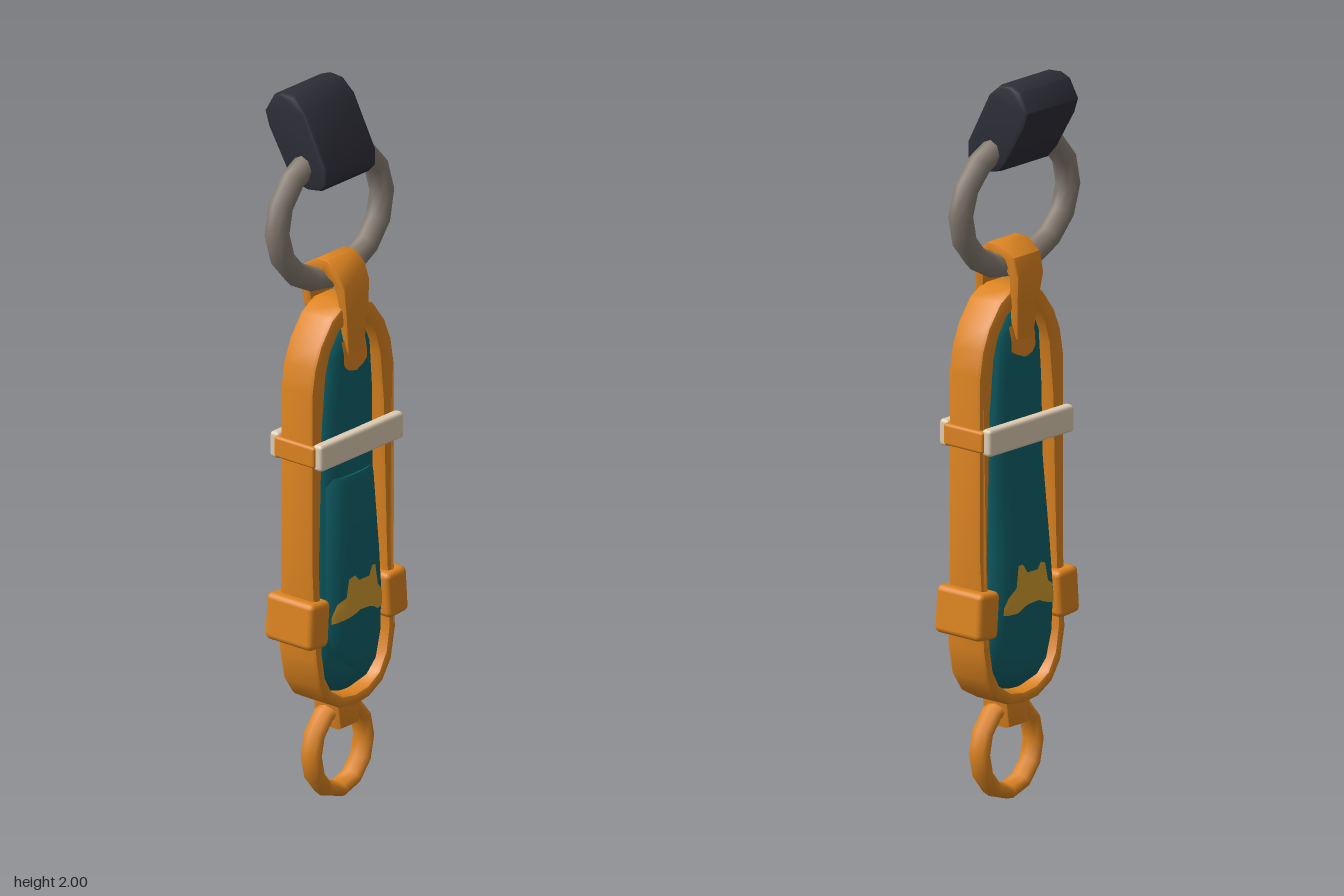
import * as THREE from 'three';
import { toCreasedNormals } from 'three/addons/utils/BufferGeometryUtils.js';
import { RoundedBoxGeometry } from 'three/addons/geometries/RoundedBoxGeometry.js';

const mat = (name, color) => {
  const m = new THREE.MeshStandardMaterial({ color });
  m.name = name;
  return m;
};

const ZC = 0.037; // depth of the middle plane of the case
const POW = 2.5;  // squareness of the lofted cross-sections

// Rows: [y, half width, depth to the front, depth to the back]
const BODY = [
  [0.315, 0.04, 0.03, 0.035], [0.34, 0.095, 0.055, 0.06], [0.38, 0.122, 0.07, 0.076],
  [0.45, 0.135, 0.078, 0.088], [0.56, 0.136, 0.08, 0.096], [0.7, 0.128, 0.074, 0.086],
  [0.93, 0.113, 0.06, 0.066], [1.15, 0.106, 0.066, 0.066], [1.28, 0.098, 0.062, 0.062],
  [1.34, 0.075, 0.05, 0.05], [1.365, 0.03, 0.03, 0.03],
];
const PANEL = [
  [0.37, 0.012, 0.07, 0.01], [0.4, 0.06, 0.081, 0.01], [0.435, 0.112, 0.087, 0.01],
  [0.48, 0.122, 0.091, 0.01], [0.57, 0.125, 0.094, 0.01], [0.7, 0.119, 0.088, 0.01],
  [0.91, 0.106, 0.074, 0.01], [0.935, 0.1, 0.066, 0.01],
];

function loft(rows, seg = 32) {
  const pos = [], idx = [], top = (rows.length - 1) * seg, n = rows.length * seg;
  for (const [y, w, front, back] of rows)
    for (let j = 0; j < seg; j++) {
      const t = (j / seg) * Math.PI * 2, c = Math.cos(t), s = Math.sin(t);
      const round = v => Math.sign(v) * Math.abs(v) ** (2 / POW);
      pos.push(w * round(c), y, ZC + (s > 0 ? front : back) * round(s));
    }
  pos.push(0, rows[0][0], ZC, 0, rows[rows.length - 1][0], ZC);
  for (let j = 0; j < seg; j++) {
    const k = (j + 1) % seg;
    for (let i = 0; i < top; i += seg)
      idx.push(i + j, i + j + seg, i + k, i + k, i + j + seg, i + k + seg);
    idx.push(n, j, k, n + 1, top + k, top + j);
  }
  const g = new THREE.BufferGeometry();
  g.setAttribute('position', new THREE.Float32BufferAttribute(pos, 3));
  g.setIndex(idx);
  return toCreasedNormals(g, 0.7);
}

// Depth of a lofted surface at x, y (side 1 = front, -1 = back)
function surfaceZ(rows, x, y, side) {
  let i = 0;
  while (i < rows.length - 2 && rows[i + 1][0] < y) i++;
  const t = (y - rows[i][0]) / (rows[i + 1][0] - rows[i][0]);
  const mix = k => THREE.MathUtils.lerp(rows[i][k], rows[i + 1][k], t);
  const u = Math.min(1, Math.abs(x) / mix(1));
  return ZC + side * (mix(side > 0 ? 2 : 3) * (1 - u ** POW) ** (1 / POW) + 0.003);
}

// Painted patch hugging a surface; columns are [x, bottom, top]
function patch(columns, rows, side, steps = 6) {
  const pos = [], idx = [], m = steps + 1;
  columns.forEach(([x, lo, hi], i) => {
    for (let j = 0; j < m; j++) {
      const y = lo + ((hi - lo) * j) / steps;
      pos.push(x, y, surfaceZ(rows, x, y, side));
      if (i && j) {
        const a = (i - 1) * m + j - 1, b = a + m;
        idx.push(...(side > 0 ? [a, b, a + 1, b, b + 1, a + 1] : [a, a + 1, b, b, a + 1, b + 1]));
      }
    }
  });
  const g = new THREE.BufferGeometry();
  g.setAttribute('position', new THREE.Float32BufferAttribute(pos, 3));
  g.setIndex(idx);
  g.computeVertexNormals();
  return g;
}

// Extruded outline with a small bevel that keeps the outline's size
function slab(points, depth, bevel, hole) {
  const vecs = list => list.map(p => new THREE.Vector2(...p));
  const shape = new THREE.Shape(vecs(points));
  if (hole) shape.holes.push(new THREE.Path(vecs(hole)));
  const g = new THREE.ExtrudeGeometry(shape, {
    depth: depth - 2 * bevel, bevelThickness: bevel, bevelSize: bevel,
    bevelOffset: -bevel, bevelSegments: 2, steps: 1,
  });
  g.translate(0, 0, bevel - depth / 2);
  return g;
}

// Faceted oval ring
function ovalRing(a, b, tube, sides) {
  const pts = [];
  for (let i = 0; i < sides; i++) {
    const t = (i / sides) * Math.PI * 2;
    pts.push(new THREE.Vector3(a * Math.cos(t), b * Math.sin(t), 0));
  }
  return new THREE.TubeGeometry(new THREE.CatmullRomCurve3(pts, true), sides, tube, 8, true);
}

const mirrored = half => [...half, ...half.filter(p => p[0] > 0).reverse().map(([x, y]) => [-x, y])];

export function createModel() {
  const group = new THREE.Group();
  const orange = mat('orange', 0xdd8420), teal = mat('teal', 0x0e6068), gold = mat('gold', 0xcf9a2e);
  const cream = mat('cream', 0xdfccb4), grey = mat('warm grey', 0x857b70), dark = mat('charcoal', 0x2d2d37);
  const add = (name, geo, material, x = 0, y = 0, z = 0) => {
    const m = new THREE.Mesh(geo, material);
    m.name = name;
    m.position.set(x, y, z);
    group.add(m);
    return m;
  };

  // Frame: tall loop, a little deeper at its lower end
  const outer = mirrored([[0, 0.275], [0.055, 0.282], [0.11, 0.312], [0.145, 0.365], [0.162, 0.45],
    [0.167, 0.7], [0.167, 1.2], [0.155, 1.27], [0.13, 1.33], [0.085, 1.39], [0.035, 1.42]]);
  const inner = mirrored([[0, 0.308], [0.05, 0.315], [0.095, 0.342], [0.122, 0.39], [0.134, 0.46],
    [0.134, 0.7], [0.122, 1.1], [0.108, 1.24], [0.09, 1.3], [0.055, 1.35], [0.02, 1.365]]);
  const frame = slab(outer, 0.114, 0.012, inner);
  const fp = frame.attributes.position;
  for (let i = 0; i < fp.count; i++) if (fp.getY(i) < 0.5) fp.setZ(i, fp.getZ(i) * 1.18);
  add('frame', toCreasedNormals(frame, 0.7), orange, 0, 0, ZC);

  // Body and its raised front panel
  add('body', loft(BODY), teal);
  add('frontPanel', loft(PANEL), teal);

  // Painted patches on both faces
  const emblem = [[-0.102, 0.535, 0.555], [-0.09, 0.538, 0.59], [-0.065, 0.545, 0.605], [-0.055, 0.548, 0.655],
    [-0.035, 0.555, 0.662], [-0.02, 0.562, 0.645], [0.02, 0.56, 0.645], [0.035, 0.555, 0.67],
    [0.05, 0.545, 0.668], [0.06, 0.54, 0.61], [0.085, 0.538, 0.585], [0.098, 0.54, 0.56]];
  const tag = [[-0.045, 1.25, 1.315], [-0.03, 1.235, 1.325], [0, 1.228, 1.33], [0.03, 1.24, 1.325], [0.048, 1.25, 1.315]];
  for (const side of [1, -1]) {
    const face = side > 0 ? 'front' : 'back';
    add(face + 'Emblem', patch(emblem, side > 0 ? PANEL : BODY, side), gold);
    add(face + 'UpperPatch', patch(tag, BODY, side), orange);
  }

  // Cross band: pale plates front and back, joined round the frame
  add('frontBandPlate', new RoundedBoxGeometry(0.336, 0.074, 0.032, 2, 0.01), cream, 0, 1.028, 0.11);
  add('backBandPlate', new RoundedBoxGeometry(0.336, 0.074, 0.032, 2, 0.01), cream, 0, 1.028, -0.04);
  for (const s of [1, -1]) {
    add('bandSide', new RoundedBoxGeometry(0.03, 0.06, 0.14, 2, 0.008), orange, s * 0.16, 1.028, 0.035);
    // Side grips
    const grip = add('sideGrip', new RoundedBoxGeometry(0.08, 0.13, 0.164, 2, 0.016), orange, s * 0.158, 0.55, 0.034);
    grip.rotation.z = s * 0.07;
  }

  // Hanger: strap folded over the frame top, narrowing downwards
  const strap = slab([[0.082, 1.275], [0.104, 1.28], [0.108, 1.4], [0.106, 1.47], [0.085, 1.515], [0.05, 1.541],
    [0.015, 1.54], [-0.035, 1.51], [-0.051, 1.455], [-0.04, 1.37], [-0.032, 1.28], [-0.01, 1.275],
    [-0.012, 1.39], [-0.018, 1.45], [0, 1.485], [0.035, 1.5], [0.065, 1.48], [0.076, 1.44], [0.08, 1.38]], 0.12, 0.007);
  strap.rotateY(-Math.PI / 2);
  const sp = strap.attributes.position;
  for (let i = 0; i < sp.count; i++)
    sp.setX(i, sp.getX(i) * THREE.MathUtils.mapLinear(sp.getY(i), 1.275, 1.54, 0.52, 1));
  add('hangerStrap', toCreasedNormals(strap, 0.7), orange);

  // Large ring and the keeper loop at its top
  const ring = add('largeRing', ovalRing(0.212, 0.178, 0.033, 16), grey, 0, 1.652, 0.009);
  ring.rotation.x = -0.045;
  const keeper = slab([[0.085, 1.777], [0.085, 1.82], [0.01, 1.963], [-0.03, 1.997], [-0.07, 2], [-0.1, 1.988],
    [-0.13, 1.936], [-0.116, 1.894], [-0.053, 1.788], [-0.026, 1.758], [0.02, 1.747], [0.063, 1.754]], 0.206, 0.01);
  keeper.rotateY(-Math.PI / 2);
  add('keeperLoop', toCreasedNormals(keeper, 0.7), dark);

  // Lower tab and small ring
  const tab = slab([[-0.05, 0.29], [-0.038, 0.21], [0.038, 0.21], [0.05, 0.29]], 0.09, 0.01);
  add('lowerTab', toCreasedNormals(tab, 0.7), orange, 0, 0, ZC);
  const small = add('smallRing', ovalRing(0.106, 0.122, 0.022, 12), orange, 0, 0.145, ZC);
  small.scale.z = 1.5;

  return group;
}
